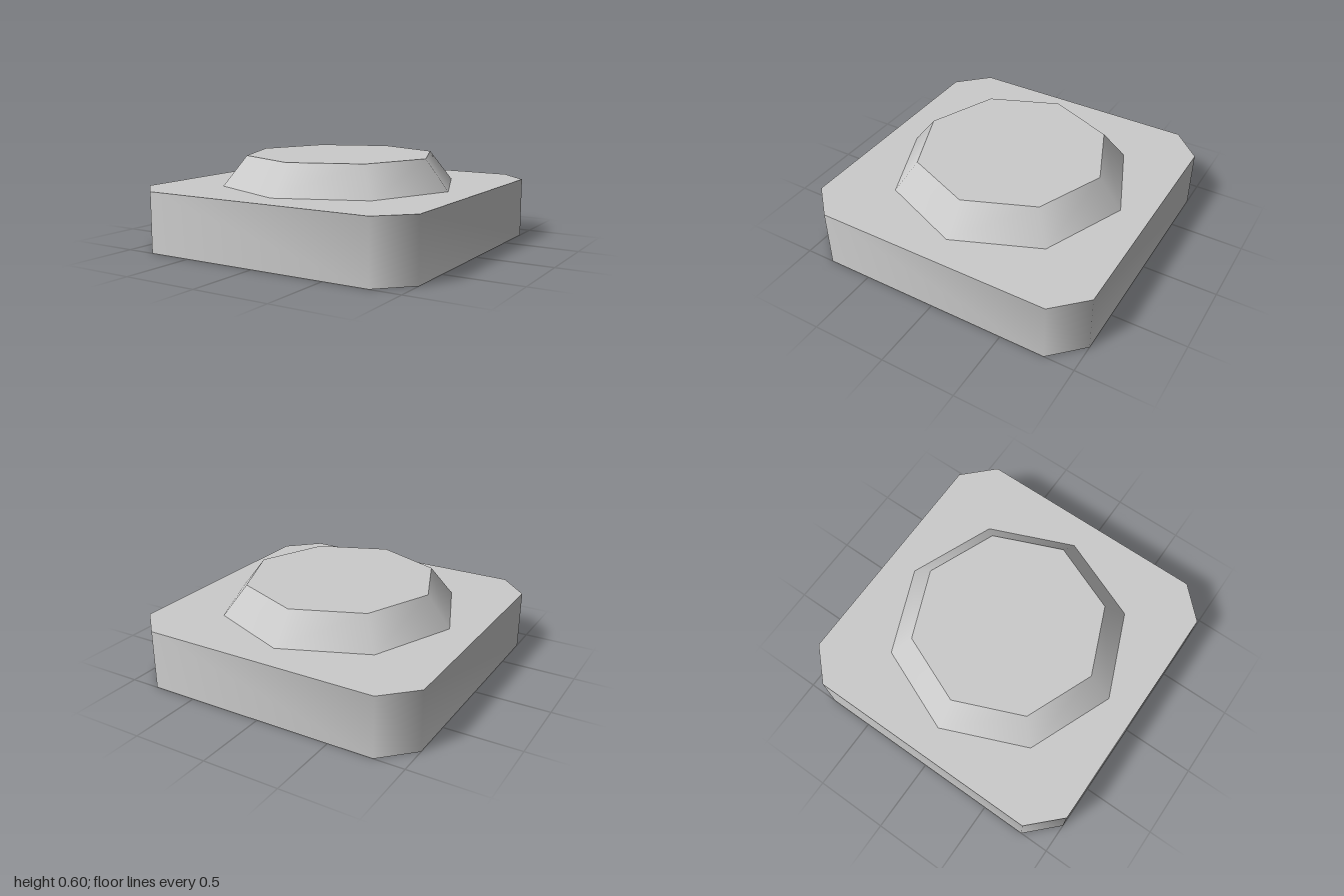
import * as THREE from 'three';
import { toCreasedNormals } from 'three/addons/utils/BufferGeometryUtils.js';

export function createModel() {
  const group = new THREE.Group();
  const material = new THREE.MeshStandardMaterial({ color: 0xcccccc });
  const add = (name, geometry) => {
    const mesh = new THREE.Mesh(geometry, material);
    mesh.name = name;
    group.add(mesh);
    return mesh;
  };

  const sides = 8, baseHeight = 0.4, studHeight = 0.2;
  const lowerRadius = 0.8, upperRadius = 0.64;

  // Square base with cut corners and an octagonal well open below
  const h = 1, c = 0.8;
  const outline = new THREE.Shape(
    [[c, -h], [h, -c], [h, c], [c, h], [-c, h], [-h, c], [-h, -c], [-c, -h]]
      .map(([x, y]) => new THREE.Vector2(x, y)));
  const well = [];
  for (let i = 0; i < sides; i++) {
    const a = -i / sides * Math.PI * 2;
    well.push(new THREE.Vector2(Math.cos(a) * lowerRadius, Math.sin(a) * lowerRadius));
  }
  outline.holes.push(new THREE.Path(well));
  const base = new THREE.ExtrudeGeometry(outline, { depth: baseHeight, bevelEnabled: false });
  base.rotateX(-Math.PI / 2);
  add('base', toCreasedNormals(base, 1)); // soft round the sides, sharp at the rims

  // Tapered octagonal stud; its underside closes the well
  const stud = add('stud', new THREE.CylinderGeometry(upperRadius, lowerRadius, studHeight, sides));
  stud.position.y = baseHeight + studHeight / 2;

  return group;
}
